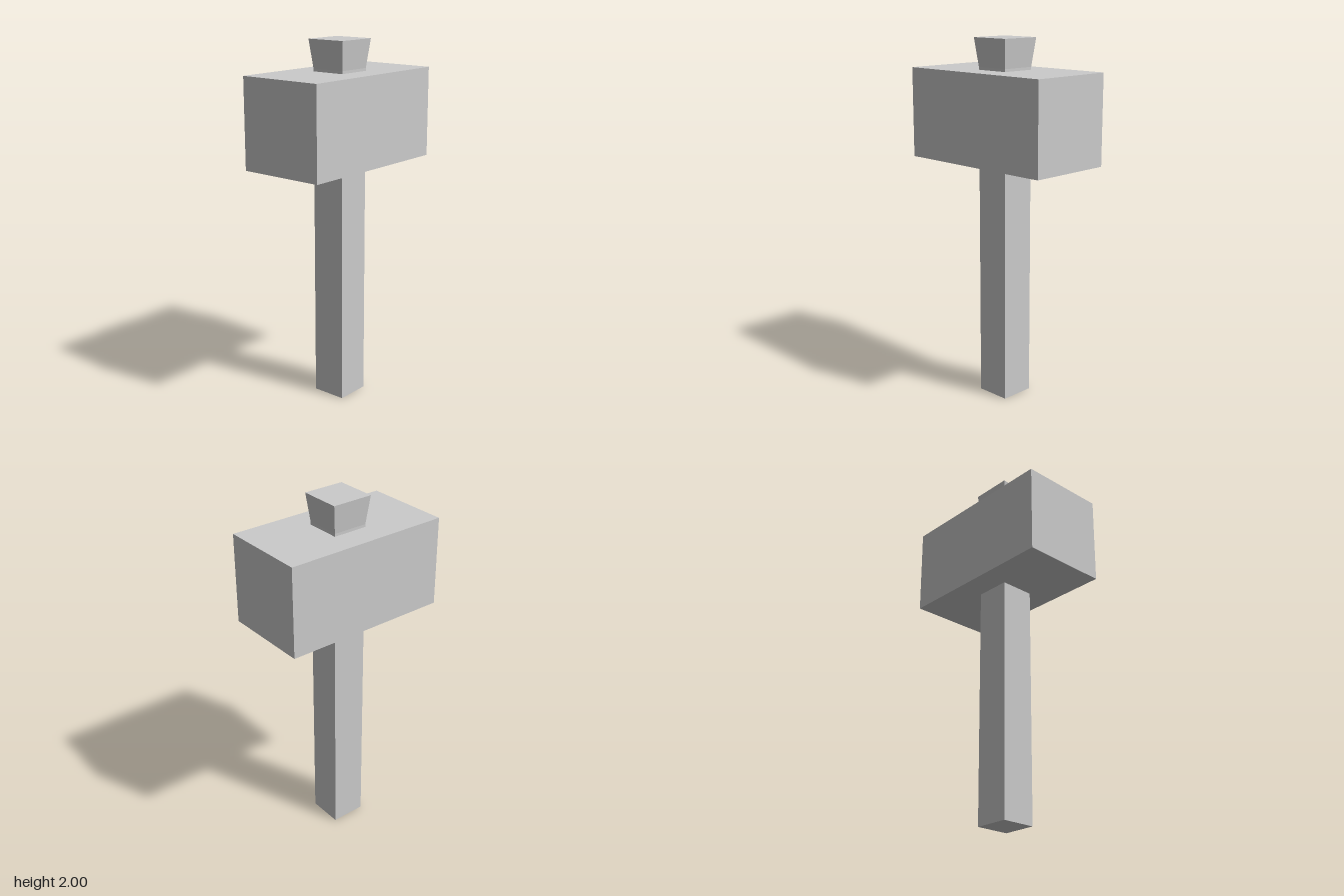
import * as THREE from 'three';

const material = new THREE.MeshStandardMaterial({ color: 0xcccccc, flatShading: true });

function addPart(group, name, geometry, y) {
  const mesh = new THREE.Mesh(geometry, material);
  mesh.name = name;
  mesh.position.y = y;
  group.add(mesh);
}

// Square post between two heights, with its own half-width at each end
function squarePost(halfTop, halfBottom, height) {
  return new THREE.CylinderGeometry(halfTop * Math.SQRT2, halfBottom * Math.SQRT2, height, 4)
    .rotateY(Math.PI / 4);
}

export function createModel() {
  const group = new THREE.Group();
  group.name = 'mallet';

  const headBottom = 1.337, headTop = 1.83, flareStart = 1.845, top = 2;
  const half = 0.098, flareHalf = 0.116;

  // Straight handle, passing through the head
  addPart(group, 'handle', new THREE.BoxGeometry(half * 2, flareStart, half * 2), flareStart / 2);

  // Block head, long from front to back
  addPart(group, 'head', new THREE.BoxGeometry(0.492, headTop - headBottom, 0.94), (headTop + headBottom) / 2);

  // Flared end of the handle above the head
  addPart(group, 'handleFlare', squarePost(flareHalf, half, top - flareStart), (top + flareStart) / 2);

  return group;
}
